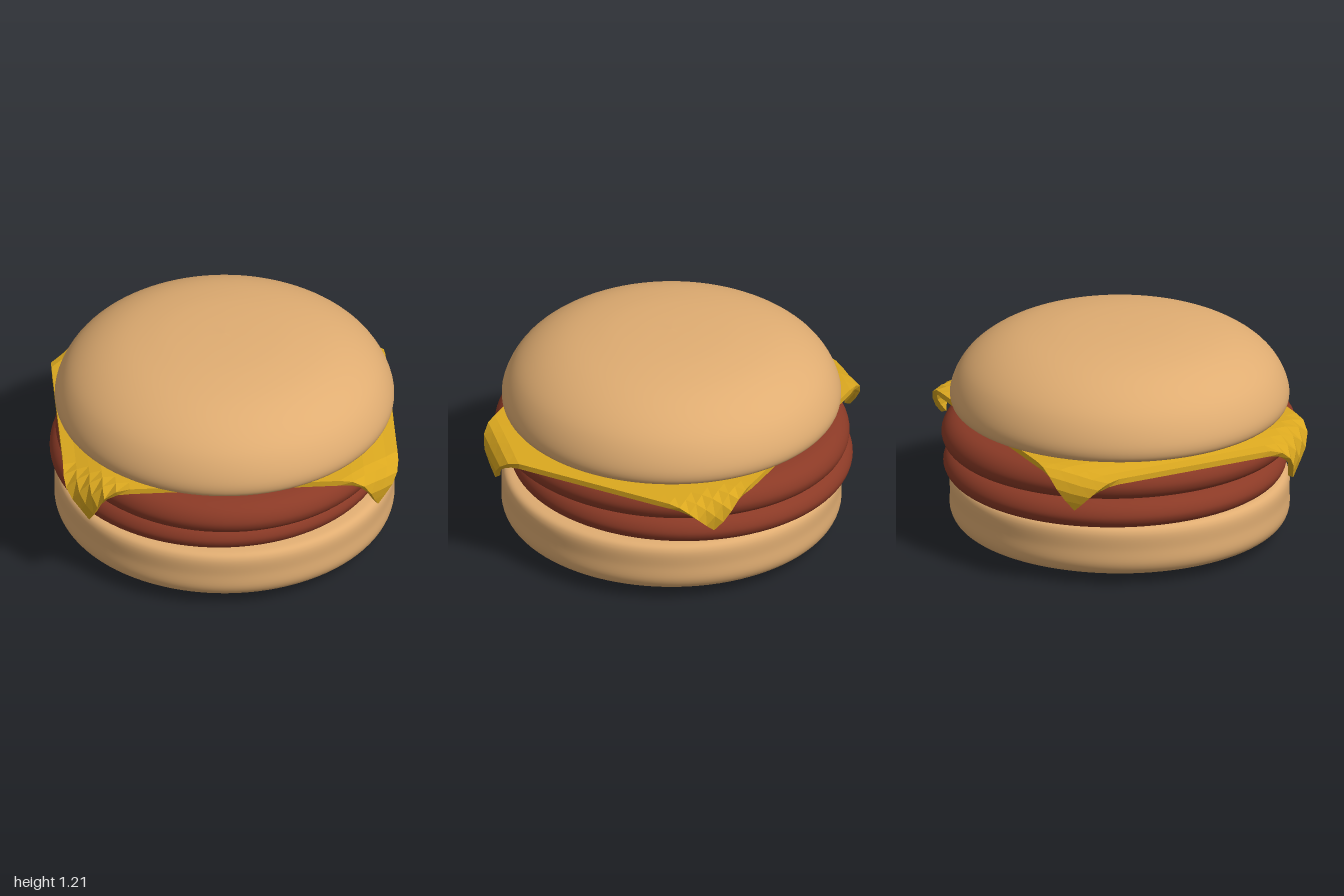
import * as THREE from 'three';

const BUN = 0xe0ad72, PATTY = 0x8b3a26, CHEESE = 0xdba81f;

// Smooth round body turned from a few profile points [radius, y]
function turned(name, color, points) {
  const curve = new THREE.CatmullRomCurve3(
    points.map(([r, y]) => new THREE.Vector3(r, y, 0)), false, 'centripetal');
  const profile = curve.getPoints(60).map(p => new THREE.Vector2(Math.max(p.x, 0), p.y));
  profile[0].x = profile[profile.length - 1].x = 0;
  const mesh = new THREE.Mesh(
    new THREE.LatheGeometry(profile, 96),
    new THREE.MeshStandardMaterial({ color }));
  mesh.name = name;
  return mesh;
}

// Meat disc with a rounded rim, from y = low to y = high
function patty(name, low, high, x, z, rx, rz) {
  const h = high - low;
  const mesh = turned(name, PATTY, [
    [0, 0], [0.5, 0], [0.88, 0.01 * h], [0.95, 0.06 * h], [0.985, 0.2 * h], [1, 0.42 * h],
    [0.985, 0.65 * h], [0.945, 0.84 * h], [0.87, 0.95 * h], [0.5, h], [0, h]]);
  mesh.scale.set(rx, 1, rz);
  mesh.position.set(x, low, z);
  return mesh;
}

// Square slice whose sides sag and whose corners roll over and hang down
function cheeseSlice() {
  const thick = 0.032, top = 0.735, bend = 0.1, fold = 1.41, maxAngle = 1.85;
  const geometry = new THREE.BoxGeometry(1.9, thick, 1.62, 26, 1, 24);
  const pos = geometry.attributes.position;
  for (let i = 0; i < pos.count; i++) {
    const x = pos.getX(i), z = pos.getZ(i);
    const depth = pos.getY(i) > 0 ? 0 : thick;
    // each corner hangs to its own length
    const length = z > 0 ? (x > 0 ? 1.08 : 1.22) : (x > 0 ? 0.92 : 1.02);
    const d = length * Math.max(0, Math.abs(x) + Math.abs(z) - fold) / Math.SQRT2;
    const angle = Math.min(d / bend, maxAngle);
    const rest = d - angle * bend;
    const r = bend - depth;
    const out = r * Math.sin(angle) + rest * Math.cos(angle);
    const down = r * (1 - Math.cos(angle)) + depth + rest * Math.sin(angle);
    const shift = (out - d / length) / Math.SQRT2;
    const sag = 0.045 * THREE.MathUtils.smoothstep(Math.abs(x), 0.68, 0.95);
    pos.setXYZ(i,
      x + Math.sign(x) * (shift - sag * 0.4),
      top - down - sag,
      z + Math.sign(z) * shift);
  }
  geometry.computeVertexNormals();
  const mesh = new THREE.Mesh(geometry,
    new THREE.MeshStandardMaterial({ color: CHEESE, flatShading: true }));
  mesh.name = 'cheeseSlice';
  mesh.position.x = 0.01;
  return mesh;
}

export function createModel() {
  const burger = new THREE.Group();
  burger.name = 'burger';

  // Bottom bun: softly rounded base, straight wall, small top rounding
  const bottomBun = turned('bottomBun', BUN, [
    [0, 0], [0.35, 0.005], [0.65, 0.022], [0.83, 0.045], [0.915, 0.08], [0.944, 0.13],
    [0.945, 0.22], [0.944, 0.31], [0.925, 0.342], [0.87, 0.355], [0.5, 0.36], [0, 0.36]]);

  // Top bun: domed crown over a tucked-in base
  const topBun = turned('topBun', BUN, [
    [0, 0.7], [0.5, 0.703], [0.75, 0.712], [0.87, 0.725], [0.93, 0.75], [0.945, 0.8],
    [0.925, 0.885], [0.865, 0.985], [0.76, 1.073], [0.61, 1.142], [0.4, 1.186],
    [0.2, 1.203], [0, 1.208]]);

  for (const bun of [bottomBun, topBun]) bun.position.set(0.01, 0, 0.005);

  burger.add(
    bottomBun,
    patty('lowerPatty', 0.35, 0.53, -0.02, -0.04, 0.94, 0.96),
    patty('upperPatty', 0.505, 0.71, 0.01, 0, 0.94, 1),
    cheeseSlice(),
    topBun);
  return burger;
}
